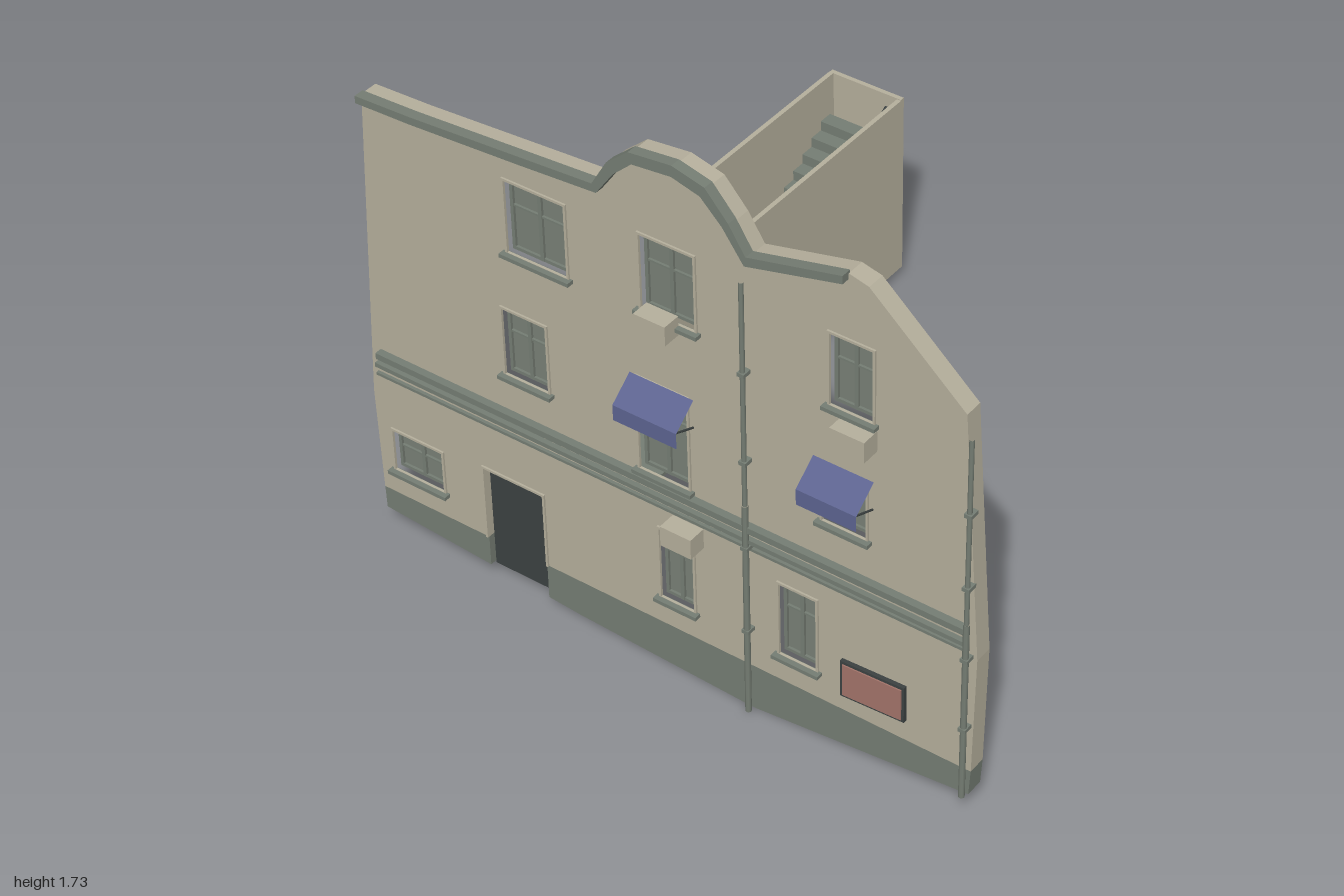
import * as THREE from 'three';

const mat = (name, color, side = THREE.FrontSide) => {
  const m = new THREE.MeshStandardMaterial({ color, side });
  m.name = name;
  return m;
};

export function createModel() {
  const plaster = mat('beige plaster', 0xb5af9c);
  const stone = mat('grey stone', 0x757d73);
  const glass = mat('window glass', 0x788076);
  const dark = mat('dark metal', 0x3c4242);
  const cloth = mat('blue cloth', 0x5d6490, THREE.DoubleSide);
  const red = mat('red panel', 0xa3746a);

  const root = new THREE.Group();
  root.name = 'townhouse';
  const BACK = 0.806, FRONT = 0.862;

  const add = (name, geo, material, parent = root) => {
    const m = new THREE.Mesh(geo, material);
    m.name = name;
    parent.add(m);
    return m;
  };
  // Box given by its limits
  const box = (name, material, x0, x1, y0, y1, z0, z1, parent) => {
    const m = add(name, new THREE.BoxGeometry(x1 - x0, y1 - y0, z1 - z0), material, parent);
    m.position.set((x0 + x1) / 2, (y0 + y1) / 2, (z0 + z1) / 2);
    return m;
  };
  // Flat polygon pushed out between two depths
  const slab = (name, material, pts, z0, z1, holes = [], parent) => {
    const shape = new THREE.Shape(pts.map(p => new THREE.Vector2(...p)));
    for (const [a, b, c, d] of holes) {
      shape.holes.push(new THREE.Path([[a, c], [a, d], [b, d], [b, c]].map(p => new THREE.Vector2(...p))));
    }
    const geo = new THREE.ExtrudeGeometry(shape, { depth: z1 - z0, bevelEnabled: false });
    geo.translate(0, 0, z0);
    return add(name, geo, material, parent);
  };
  // Round bar between two points
  const bar = (name, material, a, b, r, parent) =>
    add(name, new THREE.TubeGeometry(new THREE.LineCurve3(new THREE.Vector3(...a), new THREE.Vector3(...b)), 1, r, 8), material, parent);

  // Windows: x0, x1, y0, y1, transom height fraction
  const windows = [
    [-0.475, -0.28, 1.205, 1.435, 0.62], [-0.04, 0.13, 1.215, 1.45, 0.62], [0.545, 0.675, 1.175, 1.4, 0.62],
    [-0.51, -0.365, 0.785, 1.005, 0.62], [-0.065, 0.095, 0.675, 0.98, 0.62], [0.52, 0.655, 0.785, 0.975, 0.62],
    [-0.94, -0.765, 0.245, 0.385, 0.55], [-0.01, 0.1, 0.25, 0.49, 0.65], [0.38, 0.498, 0.25, 0.495, 0.65],
  ];
  const door = [-0.615, -0.41, 0.045, 0.405];

  // Facade wall with window openings and a notch for the door
  const ridge = [[-0.945, 1.515], [-0.76, 1.522], [-0.4, 1.545], [-0.165, 1.56], [-0.115, 1.645], [-0.045, 1.705],
    [0.09, 1.72], [0.19, 1.695], [0.26, 1.615], [0.31, 1.535], [0.6, 1.605]];
  const PLINTH = 0.155;
  slab('facade wall', plaster, [
    [-0.992, PLINTH], [-1, 0.5], ...ridge, [0.66, 1.59], [0.948, 1.33], [0.995, 0.55], [0.984, PLINTH],
    [door[1], PLINTH], [door[1], door[3]], [door[0], door[3]], [door[0], PLINTH],
  ], BACK, FRONT, windows);

  // Plinth on either side of the door
  slab('plinth right', stone, [[-0.99, 0.08], [door[0], 0.053], [door[0], PLINTH], [-0.992, PLINTH]], BACK, FRONT);
  slab('plinth left', stone, [[door[1], 0.037], [-0.3, 0.028], [0.26, 0.003], [0.3, 0.003], [0.978, 0.07],
    [0.984, PLINTH], [door[1], PLINTH]], BACK, FRONT);

  // Cornice following the roof line
  const upper = ridge.map(([x, y]) => [x, y + 0.008]);
  const inner = [[0.6, 1.588], [0.305, 1.513], [0.24, 1.605], [0.175, 1.67], [0.088, 1.693], [-0.035, 1.68],
    [-0.095, 1.625], [-0.152, 1.544], [-0.4, 1.527], [-0.76, 1.506], [-0.945, 1.5]];
  slab('cornice', stone, [...upper, ...inner], FRONT - 0.006, 0.888);

  // String courses
  [[0.652, 0.648, 0.02, 0.885, -0.96], [0.612, 0.6, 0.014, 0.878, -0.972], [0.576, 0.575, 0.009, 0.872, -0.975]]
    .forEach(([l, r, h, z, x], i) => slab('string course ' + (i + 1), stone,
      [[x, l - h / 2], [0.965, r - h / 2], [0.965, r + h / 2], [x, l + h / 2]], FRONT - 0.002, z));

  // Glazing, bars, surround and sill for every window
  windows.forEach(([x0, x1, y0, y1, t], i) => {
    const g = new THREE.Group();
    g.name = 'window ' + (i + 1);
    root.add(g);
    box('glass', glass, x0, x1, y0, y1, 0.83, 0.836, g);
    const xm = (x0 + x1) / 2, yt = y0 + (y1 - y0) * t, w = 0.006;
    box('mullion', stone, xm - w, xm + w, y0, y1, 0.824, 0.844, g);
    box('transom', stone, x0, x1, yt - w / 2, yt + w / 2, 0.825, 0.843, g);
    for (const [a, b] of [[x0, x0 + 0.01], [x1 - 0.01, x1]]) box('frame side', stone, a, b, y0, y1, 0.824, 0.844, g);
    for (const [a, b] of [[y0, y0 + 0.01], [y1 - 0.01, y1]]) box('frame rail', stone, x0, x1, a, b, 0.8245, 0.8435, g);
    const s = 0.007;
    slab('surround', plaster, [[x0 - s, y0], [x1 + s, y0], [x1 + s, y1 + s], [x0 - s, y1 + s]],
      FRONT - 0.002, FRONT + 0.006, [[x0, x1, y0 + 0.001, y1]], g);
    box('sill', stone, x0 - 0.016, x1 + 0.016, y0 - 0.012, y0, FRONT - 0.004, 0.884, g);
  });

  // Front door and its surround
  box('door', dark, ...door, 0.826, 0.84);
  slab('door surround', plaster, [[door[0] - 0.007, PLINTH], [door[0], PLINTH], [door[0], door[3]], [door[1], door[3]],
    [door[1], PLINTH], [door[1] + 0.007, PLINTH], [door[1] + 0.007, door[3] + 0.007], [door[0] - 0.007, door[3] + 0.007]],
  FRONT - 0.002, FRONT + 0.006);

  // Air conditioner boxes
  [[-0.02, 0.08, 1.185, 1.245], [0.585, 0.69, 1.095, 1.16], [0.04, 0.14, 0.5, 0.565]]
    .forEach((b, i) => box('air conditioner ' + (i + 1), plaster, ...b, 0.868, 0.925));

  // Awnings: sloping sheet with a hanging valance and two arms
  [[-0.085, 0.12], [0.495, 0.68]].forEach(([x0, x1], i) => {
    const g = new THREE.Group();
    g.name = 'awning ' + (i + 1);
    root.add(g);
    const geo = new THREE.PlaneGeometry(x1 - x0, 1, 1, 2);
    const rows = [[0.99, 0.868], [0.93, 0.944], [0.88, 0.944]];
    const p = geo.attributes.position;
    for (let k = 0; k < p.count; k++) {
      const [y, z] = rows[Math.floor(k / 2)];
      p.setXYZ(k, p.getX(k) + (x0 + x1) / 2, y, z);
    }
    const flat = geo.toNonIndexed();
    flat.computeVertexNormals();
    add('cloth', flat, cloth, g);
    for (const x of [x0 + 0.006, x1 - 0.006]) bar('arm', dark, [x, 0.895, 0.864], [x, 0.926, 0.938], 0.003, g);
  });

  // Drainpipes with brackets
  [[0.286, 0.005, 0.29, 1.455], [0.97, 0.075, 0.976, 1.28]].forEach(([xa, ya, xb, yb], i) => {
    const g = new THREE.Group();
    g.name = 'drainpipe ' + (i + 1);
    root.add(g);
    const mid = [xa + (xb - xa) / 2, (ya + yb) / 2, 0.882];
    bar('lower pipe', stone, [xa, ya, 0.882], mid, 0.009, g);
    bar('upper pipe', stone, mid, [xb, yb, 0.882], 0.007, g);
    for (let k = 1; k < 5; k++) {
      const t = k / 5, x = xa + (xb - xa) * t, y = ya + (yb - ya) * t;
      box('bracket', stone, x - 0.011, x + 0.011, y - 0.006, y + 0.006, 0.86, 0.892, g);
    }
  });

  // Wall board
  slab('board frame', dark, [[0.58, 0.215], [0.782, 0.226], [0.782, 0.347], [0.58, 0.338]], FRONT - 0.002, 0.874);
  slab('board panel', red, [[0.589, 0.224], [0.774, 0.234], [0.774, 0.338], [0.589, 0.33]], 0.87, 0.878);

  // Stairwell: open-topped walls, landing, steps and handrail
  const well = new THREE.Group();
  well.name = 'stairwell';
  root.add(well);
  box('long wall', plaster, -0.48, -0.465, 0.035, 0.662, -0.93, 0.245, well);
  box('short wall', plaster, -0.725, -0.71, 0.035, 0.667, -0.93, -0.15, well);
  box('end wall', plaster, -0.725, -0.465, 0.035, 0.665, -0.945, -0.93, well);
  box('landing', stone, -0.71, -0.475, 0.02, 0.033, -0.19, 0.28, well);
  const n = 15, run = 0.048, rise = 0.033, start = -0.19;
  for (let i = 0; i < n; i++) {
    box('step ' + (i + 1), stone, -0.71, -0.48, 0.033, 0.033 + rise * (i + 1), start - run * (i + 1), start - run * i, well);
  }
  box('wainscot', red, -0.488, -0.479, 0.033, 0.18, start, 0.24, well);
  bar('handrail', dark, [-0.495, 0.16, 0], [-0.495, 0.18, -0.19], 0.007, well);
  bar('stair handrail', dark, [-0.495, 0.18, -0.19], [-0.495, 0.645, -0.9], 0.007, well);

  return root;
}
